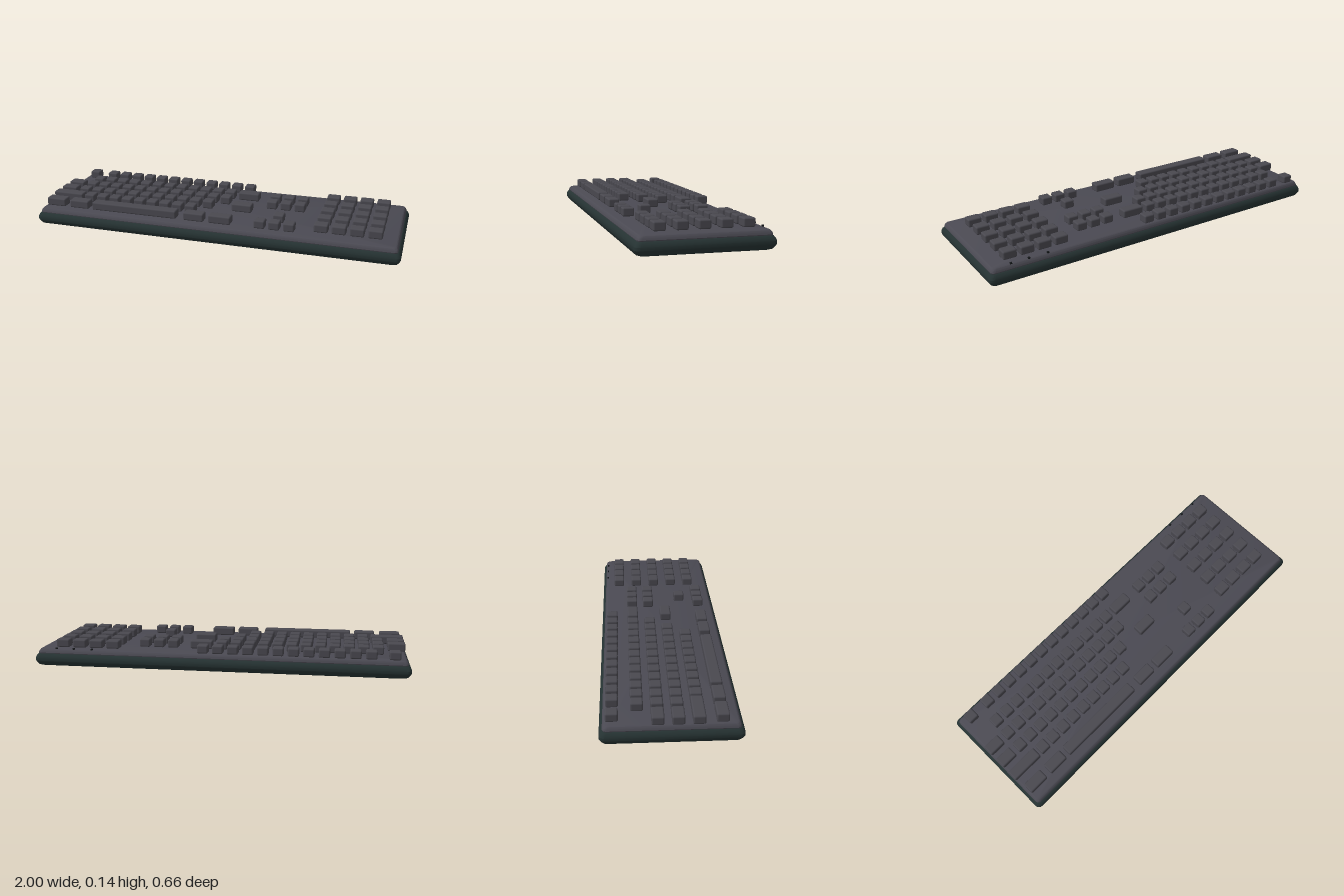
import * as THREE from 'three';
import { toCreasedNormals } from 'three/addons/utils/BufferGeometryUtils.js';
import { RoundedBoxGeometry } from 'three/addons/geometries/RoundedBoxGeometry.js';

const mat = (name, color) => {
  const m = new THREE.MeshStandardMaterial({ color });
  m.name = name;
  return m;
};

// Rounded rectangles stacked along a profile of [inset, y], closed at both ends.
function loftedSlab(halfX, halfZ, radius, profile, steps = 4) {
  const pos = [], index = [];
  const n = 4 * (steps + 1);
  for (const [inset, y] of profile) {
    for (let c = 0; c < 4; c++) {
      const sx = c === 0 || c === 3 ? 1 : -1;
      const sz = c < 2 ? 1 : -1;
      for (let s = 0; s <= steps; s++) {
        const a = (c + s / steps) * Math.PI / 2;
        pos.push(
          sx * (halfX - inset - radius) + radius * Math.cos(a), y,
          sz * (halfZ - inset - radius) + radius * Math.sin(a));
      }
    }
  }
  const last = profile.length - 1;
  for (let i = 0; i < last; i++) {
    for (let j = 0; j < n; j++) {
      const a = i * n + j, b = i * n + (j + 1) % n;
      index.push(a, a + n, b, b, a + n, b + n);
    }
  }
  const bottom = pos.length / 3;
  pos.push(0, profile[0][1], 0, 0, profile[last][1], 0);
  for (let j = 0; j < n; j++) {
    const k = (j + 1) % n;
    index.push(bottom, j, k, bottom + 1, last * n + k, last * n + j);
  }
  const g = new THREE.BufferGeometry();
  g.setAttribute('position', new THREE.Float32BufferAttribute(pos, 3));
  g.setIndex(index);
  return toCreasedNormals(g, 0.45);
}

export function createModel() {
  const model = new THREE.Group();
  model.name = 'keyboard';
  const caseMat = mat('dark green case', 0x253232);
  const plateMat = mat('grey plate', 0x4a4952);
  const keyMat = mat('grey keys', 0x49484f);
  const lightMat = mat('black indicators', 0x15181a);

  const add = (parent, name, geometry, material, x = 0, y = 0, z = 0) => {
    const m = new THREE.Mesh(geometry, material);
    m.name = name;
    m.position.set(x, y, z);
    parent.add(m);
  };

  // Lower case with bulging sides
  add(model, 'lowerCase', loftedSlab(1, 0.331, 0.025, [
    [0.027, 0], [0.013, 0.006], [0.004, 0.02], [0, 0.029],
    [0, 0.044], [0.005, 0.056], [0.012, 0.065], [0.018, 0.068],
  ]), caseMat);

  // Top plate with a bevelled rim
  add(model, 'topPlate', loftedSlab(0.985, 0.316, 0.02, [
    [0.002, 0.064], [0, 0.071], [0.003, 0.081], [0.009, 0.089], [0.015, 0.092],
  ]), plateMat);

  // Keys
  const H = 0.044, D = 0.059, W = 0.058;
  const cache = {};
  const group = (name) => {
    const g = new THREE.Group();
    g.name = name;
    model.add(g);
    return g;
  };
  const key = (parent, name, x, z, w = W) => {
    cache[w] ??= new RoundedBoxGeometry(w, H, D, 2, 0.008);
    add(parent, name, cache[w], keyMat, x, 0.0925 + H / 2, z);
  };
  const row = (parent, name, count, x, step, z, w = W) => {
    for (let i = 0; i < count; i++) key(parent, name, x + i * step, z, w);
  };
  const Z = [-0.272, -0.157, -0.064, 0.029, 0.123, 0.23];
  const P = 0.0755;

  const main = group('mainKeys');
  key(main, 'escapeKey', -0.916, Z[0]);
  row(main, 'functionKey', 12, -0.798, 0.0798, Z[0]);
  row(main, 'numberKey', 12, -0.836, P, Z[1]);
  key(main, 'backspaceKey', 0.106, Z[1], 0.12);
  key(main, 'tabKey', -0.935, Z[2], 0.092);
  row(main, 'letterKey', 12, -0.838, P, Z[2]);
  key(main, 'capsKey', -0.935, Z[3], 0.092);
  row(main, 'letterKey', 11, -0.838, P, Z[3]);
  key(main, 'enterKey', 0.113, Z[3], 0.112);
  key(main, 'shiftKey', -0.893, Z[4], 0.178);
  row(main, 'letterKey', 9, -0.761, P, Z[4]);
  for (const x of [-0.913, -0.772, -0.1]) key(main, 'modifierKey', x, Z[5], 0.112);
  key(main, 'modifierKey', 0.045, Z[5], 0.122);
  key(main, 'spaceBar', -0.446, Z[5], 0.492);

  // Navigation block and arrows
  const nav = group('navigationKeys');
  for (const z of [Z[1], Z[2], Z[5]]) row(nav, 'navigationKey', 3, 0.263, 0.079, z);
  key(nav, 'upArrowKey', 0.342, Z[4]);

  // Number pad
  const pad = group('numberPad');
  for (let r = 0; r < 5; r++) row(pad, 'padKey', 4, 0.582, 0.0933, -0.232 + r * 0.1063, 0.073);

  // Indicator lights along the back edge
  for (const x of [0.683, 0.785, 0.88]) {
    add(model, 'indicatorLight', new THREE.BoxGeometry(0.01, 0.008, 0.009), lightMat, x, 0.095, -0.303);
  }
  return model;
}
